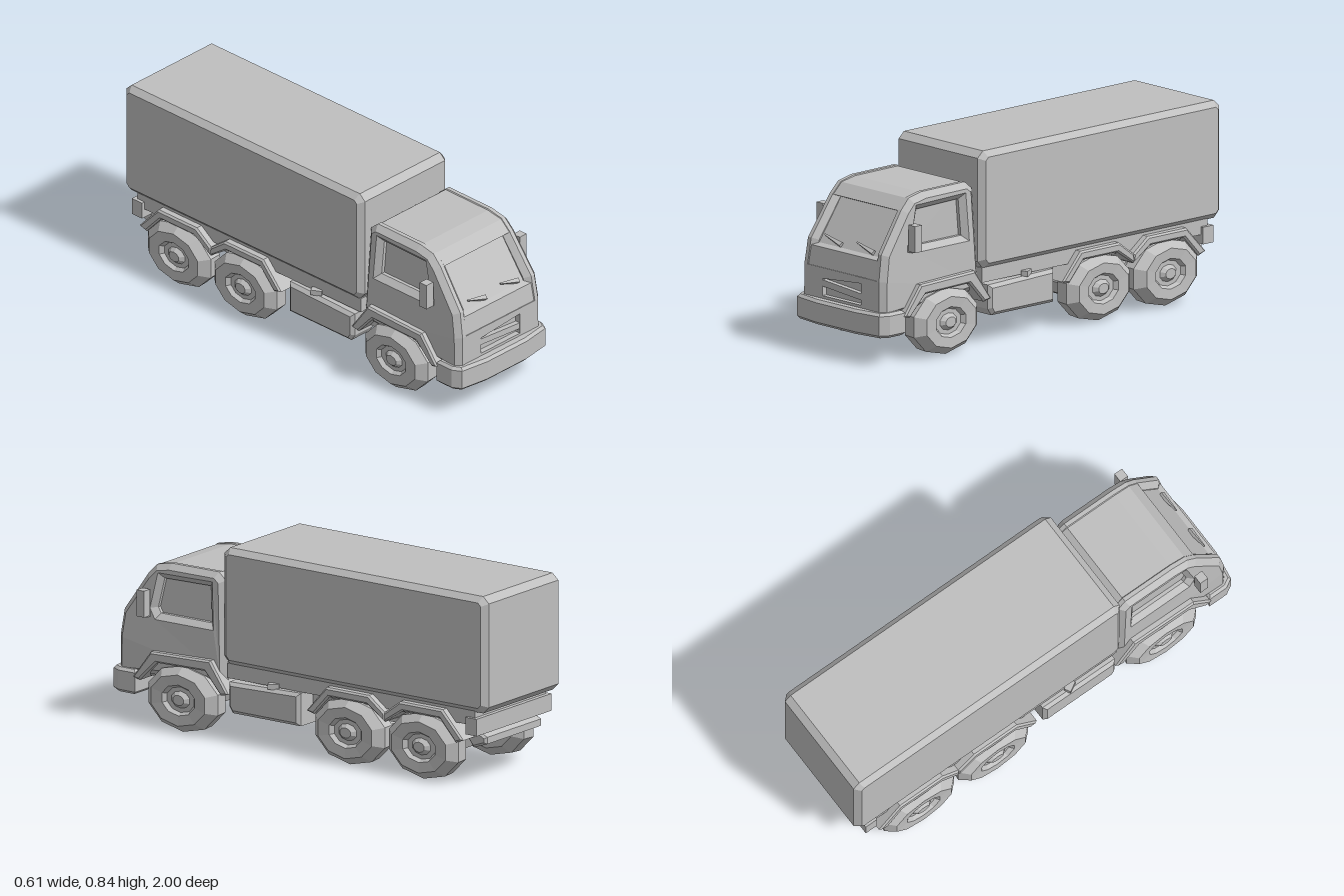
import * as THREE from 'three';

const paint = new THREE.MeshStandardMaterial({ color: 0xbfbfbf });
paint.name = 'plain grey';

function toShape(points, hole) {
  const shape = new THREE.Shape(points.map(p => new THREE.Vector2(...p)));
  if (hole) shape.holes.push(new THREE.Path(hole.map(p => new THREE.Vector2(...p))));
  return shape;
}

// Solid centred on local z, with chamfered edges kept inside the outline
function slab(points, width, bevel, hole) {
  const geo = new THREE.ExtrudeGeometry(toShape(points, hole), {
    depth: width - 2 * bevel, bevelEnabled: bevel > 0, bevelThickness: bevel,
    bevelSize: bevel, bevelOffset: -bevel, bevelSegments: 1,
  });
  return geo.translate(0, 0, -(width - 2 * bevel) / 2);
}

// Side profile given as [z, y], spanning x0 to x1
function sideSlab(points, x0, x1, bevel, hole) {
  return slab(points, x1 - x0, bevel, hole).rotateY(-Math.PI / 2).translate((x0 + x1) / 2, 0, 0);
}

// Plan outline given as [x, z], spanning y0 to y1
function planSlab(points, y0, y1, bevel) {
  return slab(points, y1 - y0, bevel).rotateX(Math.PI / 2).translate(0, (y0 + y1) / 2, 0);
}

function box(x0, x1, y0, y1, z0, z1) {
  return new THREE.BoxGeometry(x1 - x0, y1 - y0, z1 - z0)
    .translate((x0 + x1) / 2, (y0 + y1) / 2, (z0 + z1) / 2);
}

// The cab leans inwards towards the roof
function taper(geo) {
  const p = geo.attributes.position;
  for (let i = 0; i < p.count; i++) {
    const y = p.getY(i);
    p.setX(i, p.getX(i) * (1 - Math.max(0, y - 0.35) * 0.17));
  }
  geo.computeVertexNormals();
  return geo;
}

function flat(geo) {
  const g = geo.toNonIndexed();
  g.computeVertexNormals();
  return g;
}

export function createModel() {
  const truck = new THREE.Group();
  truck.name = 'truck';
  const add = (name, geo, parent = truck) => {
    const mesh = new THREE.Mesh(geo, paint);
    mesh.name = name;
    parent.add(mesh);
    return mesh;
  };

  // Cargo body
  add('cargoBox', sideSlab([[-0.97, 0.325], [0.37, 0.325], [0.4, 0.36], [0.4, 0.81], [0.37, 0.838],
    [-0.97, 0.838], [-1, 0.81], [-1, 0.355]], -0.27, 0.27, 0.025));
  add('cargoFloorRail', box(-0.25, 0.25, 0.265, 0.33, -0.93, 0.38));

  // Cab: a core with set-back windscreen and grille, between two windowed sides
  const cab = new THREE.Group();
  cab.name = 'cab';
  truck.add(cab);
  add('cabCore', taper(sideSlab([[0.39, 0.2], [0.935, 0.2], [0.935, 0.36], [0.957, 0.36], [0.943, 0.445],
    [0.918, 0.455], [0.797, 0.635], [0.822, 0.645], [0.775, 0.692], [0.7, 0.706], [0.45, 0.708],
    [0.415, 0.68]], -0.217, 0.217, 0)), cab);
  const window = [[0.48, 0.485], [0.75, 0.485], [0.765, 0.51], [0.735, 0.64], [0.49, 0.645]];
  for (const s of [-1, 1]) {
    add('cabSide', taper(sideSlab([[0.39, 0.24], [0.96, 0.2], [0.96, 0.36], [0.942, 0.475], [0.82, 0.65],
      [0.775, 0.695], [0.7, 0.71], [0.45, 0.712], [0.412, 0.68]],
      s * 0.222 - 0.035, s * 0.222 + 0.035, 0.025, window)), cab);

    // Mirror on a short arm
    add('mirror', box(-0.021, 0.021, -0.058, 0.058, -0.02, 0.02), cab)
      .position.set(s * 0.286, 0.535, 0.8);
    add('mirrorArm', box(-0.03, 0.03, -0.015, 0.015, -0.012, 0.012), cab)
      .position.set(s * 0.25, 0.485, 0.8);

    // Wiper
    const wiper = add('wiper', flat(new THREE.CylinderGeometry(0.004, 0.014, 0.11, 4)), cab);
    wiper.position.set(s * 0.1, 0.48, 0.915);
    wiper.rotation.z = 1.3;
  }

  // Front skin with the grille opening
  const skin = slab([[-0.215, 0.2], [0.215, 0.2], [0.215, 0.362], [-0.215, 0.362]], 0.026, 0,
    [[-0.12, 0.24], [0.12, 0.24], [0.12, 0.335], [-0.12, 0.315]]);
  add('grilleSurround', skin.translate(0, 0, 0.947), cab);
  const bar = add('grilleBar', box(-0.125, 0.125, -0.014, 0.014, -0.012, 0.012), cab);
  bar.position.set(0, 0.285, 0.946);
  bar.rotation.z = -0.08;

  // Front bumper wrapping round the corners
  add('frontBumper', planSlab([[-0.278, 0.85], [0.278, 0.85], [0.278, 0.94], [0.255, 0.98], [0.12, 1],
    [-0.12, 1], [-0.255, 0.98], [-0.278, 0.94]], 0.12, 0.228, 0.012));

  // Chassis
  add('chassis', box(-0.18, 0.18, 0.19, 0.3, -0.9, 0.88));

  // Mudguards: arches of constant thickness
  const guards = {
    frontMudguard: [[0.86, 0.2], [0.765, 0.325], [0.45, 0.335], [0.355, 0.2], [0.395, 0.19],
      [0.48, 0.285], [0.735, 0.28], [0.825, 0.19]],
    middleMudguard: [[-0.06, 0.2], [-0.165, 0.318], [-0.39, 0.318], [-0.475, 0.255], [-0.475, 0.215],
      [-0.38, 0.278], [-0.18, 0.278], [-0.1, 0.19]],
    rearMudguard: [[-0.47, 0.255], [-0.555, 0.318], [-0.78, 0.318], [-0.89, 0.2], [-0.85, 0.185],
      [-0.765, 0.278], [-0.57, 0.278], [-0.47, 0.215]],
  };
  for (const [name, points] of Object.entries(guards)) {
    for (const s of [-1, 1]) {
      add(name, sideSlab(points, s * 0.225 - 0.06, s * 0.225 + 0.06, 0.008));
    }
  }

  // Side tanks with filler caps
  for (const s of [-1, 1]) {
    add('sideTank', sideSlab([[-0.02, 0.12], [0.34, 0.12], [0.36, 0.15], [0.36, 0.255], [-0.02, 0.265]],
      s * 0.21 - 0.07, s * 0.21 + 0.07, 0.015));
    const cap = add('tankCap', box(-0.015, 0.015, -0.012, 0.012, -0.025, 0.025));
    cap.position.set(s * 0.257, 0.27, 0.13);
    cap.rotation.y = 0.5;
  }

  // Rear bumper and the step under it
  add('rearBumper', box(-0.265, 0.265, 0.225, 0.3, -0.95, -0.89));
  add('rearStep', sideSlab([[-0.84, 0.2], [-0.88, 0.15], [-0.95, 0.175], [-0.95, 0.205], [-0.9, 0.23]],
    -0.2, 0.2, 0.01));

  // Wheels: slightly squashed low-poly lathes, joined by thick axles
  const profile = [[0, -0.065], [0.14, -0.065], [0.188, -0.035], [0.193, 0.025], [0.15, 0.063],
    [0.09, 0.06], [0.075, 0.042], [0.05, 0.042], [0.03, 0.06], [0, 0.06]];
  const wheelGeo = flat(new THREE.LatheGeometry(profile.map(p => new THREE.Vector2(...p)), 10)
    .rotateZ(-Math.PI / 2).rotateX(Math.PI / 10).scale(1, 0.75, 1));
  const axleGeo = flat(new THREE.CylinderGeometry(0.075, 0.075, 0.38, 8).rotateZ(Math.PI / 2));
  for (const z of [0.605, -0.28, -0.67]) {
    add('axle', axleGeo).position.set(0, 0.142, z);
    for (const s of [-1, 1]) {
      const wheel = add('wheel', wheelGeo);
      wheel.position.set(s * 0.24, 0.14, z);
      if (s < 0) wheel.rotation.y = Math.PI;
    }
  }
  return truck;
}
